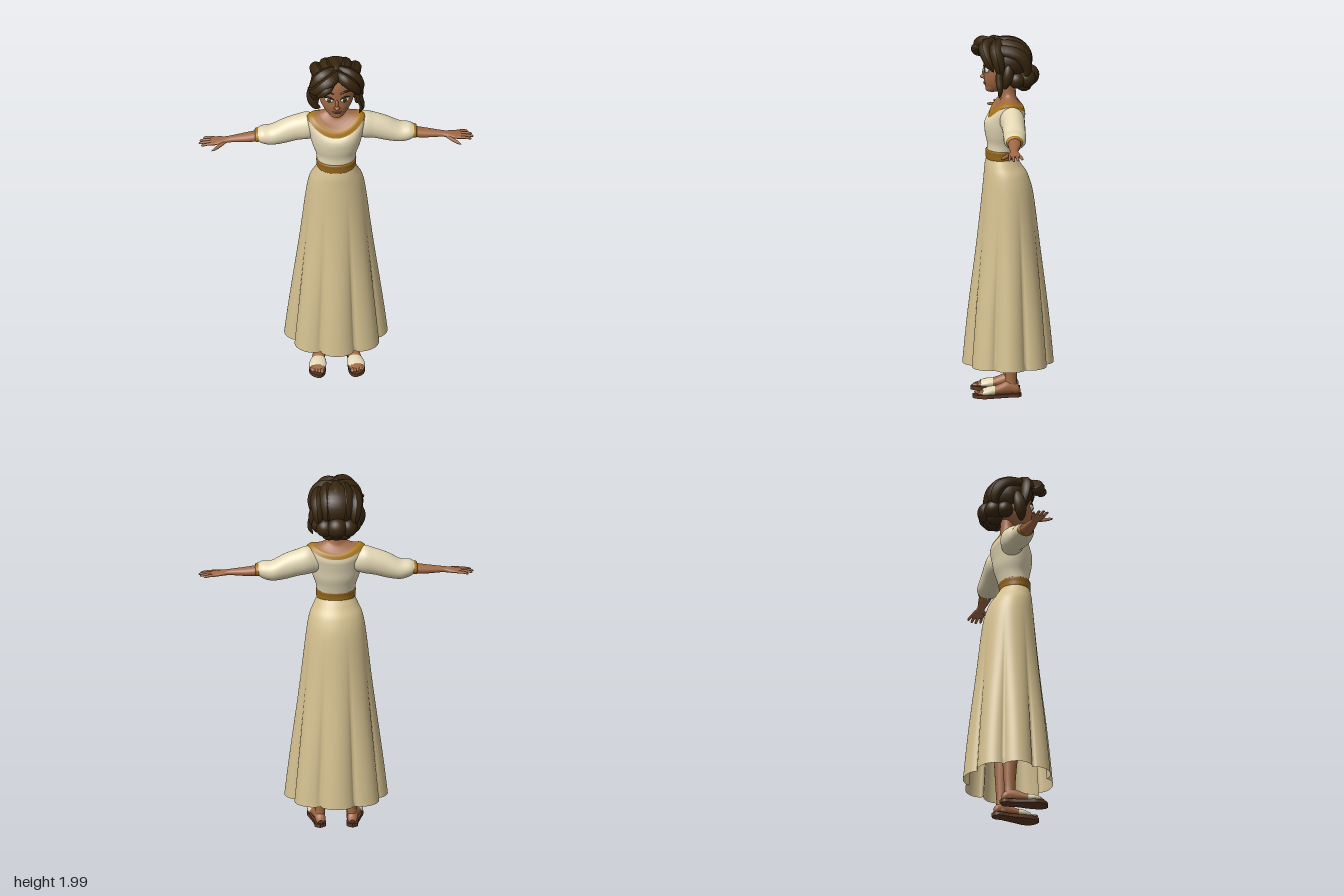
import * as THREE from 'three';

const V = (x, y, z) => new THREE.Vector3(x, y, z);
const mat = (name, color, double) => {
  const m = new THREE.MeshStandardMaterial({ color });
  m.name = name;
  if (double) m.side = THREE.DoubleSide;
  return m;
};

// Smooth loft: rows are [t, u, v, ru, rv, dip], t rising along the axis.
// dip lowers the front (and less the back) of a ring on a vertical loft.
function loft(axis, rows, { seg = 32, steps = 5, warp = () => 1 } = {}) {
  const mid = new THREE.CatmullRomCurve3(rows.map(r => V(r[0], r[1], r[2])), false, 'catmullrom');
  const rad = new THREE.CatmullRomCurve3(rows.map(r => V(r[3], r[4], r[5] || 0)), false, 'catmullrom');
  const n = (rows.length - 1) * steps, pos = [], idx = [];
  for (let i = 0; i <= n; i++) {
    const c = mid.getPoint(i / n), r = rad.getPoint(i / n);
    for (let j = 0; j < seg; j++) {
      const a = j / seg * Math.PI * 2, k = warp(a, c.x), cos = Math.cos(a);
      const u = c.y + Math.max(r.x, 0.0005) * k * Math.sin(a);
      const v = c.z + Math.max(r.y, 0.0005) * k * cos;
      const t = c.x - r.z * cos * cos * (cos > 0 ? 1 : 0.6);
      pos.push(...(axis === 'y' ? [u, t, v] : axis === 'x' ? [t, v, u] : [v, u, t]));
      if (i < n) {
        const p = i * seg + j, q = i * seg + (j + 1) % seg;
        idx.push(p, q, p + seg, q, q + seg, p + seg);
      }
    }
  }
  const g = new THREE.BufferGeometry();
  g.setAttribute('position', new THREE.Float32BufferAttribute(pos, 3));
  g.setIndex(idx);
  g.computeVertexNormals();
  return g;
}

// Mirror to the other side, keeping faces outward
function mirror(g) {
  const m = g.clone();
  if (!m.index) m.setIndex([...Array(m.attributes.position.count).keys()]);
  m.scale(-1, 1, 1);
  const a = m.index.array;
  for (let i = 0; i < a.length; i += 3) [a[i], a[i + 1]] = [a[i + 1], a[i]];
  return m;
}

// Tapered strand along a path
function strand(pts, r, flat = 1) {
  const curve = new THREE.CatmullRomCurve3(pts.map(p => V(...p)));
  const n = 20, sides = 10, g = new THREE.TubeGeometry(curve, n, 1, sides);
  const p = g.attributes.position, q = V();
  for (let i = 0; i <= n; i++) {
    const c = curve.getPointAt(i / n);
    const w = r * Math.pow(Math.max(Math.sin(Math.PI * (0.1 + 0.9 * i / n)), 0), 0.65);
    for (let j = 0; j <= sides; j++) {
      const k = i * (sides + 1) + j;
      q.fromBufferAttribute(p, k).sub(c).multiplyScalar(w);
      p.setXYZ(k, c.x + q.x, c.y + q.y * flat, c.z + q.z);
    }
  }
  g.computeVertexNormals();
  return g;
}

const ball = (x, y, z, rx, ry, rz, turn = 0) =>
  new THREE.SphereGeometry(1, 24, 16).scale(rx, ry, rz).rotateY(turn).translate(x, y, z);

export function createModel() {
  const root = new THREE.Group();
  const skin = mat('skin', 0xa16945), bodice = mat('bodice cream', 0xe2d6b4, true);
  const cloth = mat('skirt tan', 0xd4c090, true), gold = mat('gold trim', 0xa87618, true);
  const belt = mat('belt bronze', 0x94661a, true), hair = mat('dark brown hair', 0x38260f);
  const sole = mat('sandal brown', 0x5a3724), white = mat('eye white', 0xe8e2d8);
  const iris = mat('iris green', 0x4c5a26), lip = mat('lip', 0x8c4a3a);
  const add = (name, g, m) => {
    const o = new THREE.Mesh(g, m);
    o.name = name;
    root.add(o);
  };
  const pair = (name, g, m) => {
    add('left ' + name, g, m);
    add('right ' + name, mirror(g), m);
  };

  // Skirt with eight deepening folds
  const folds = (a, y) => {
    const k = THREE.MathUtils.smoothstep(1.25 - y, 0, 1);
    return 1 + 0.085 * k * (2 * Math.pow(Math.abs(Math.cos(4 * a)), 0.65) - 1);
  };
  add('skirt', loft('y', [
    [0.175, 0, 0, 0.26, 0.23], [0.5, 0, 0, 0.226, 0.202], [0.8, 0, 0, 0.195, 0.172],
    [1.1, 0, 0.002, 0.166, 0.142], [1.22, 0, 0.012, 0.147, 0.121],
    [1.28, 0, 0.028, 0.122, 0.1], [1.33, 0, 0.038, 0.1, 0.079],
  ], { seg: 128, steps: 7, warp: folds }), cloth);
  add('belt', loft('y', [
    [1.314, 0, 0.038, 0.098, 0.076], [1.32, 0, 0.038, 0.106, 0.083], [1.342, 0, 0.038, 0.107, 0.084],
    [1.364, 0, 0.037, 0.109, 0.086], [1.37, 0, 0.037, 0.1, 0.077],
  ], { seg: 48 }), belt);

  // Bodice, scooped collar, upper chest and neck share their edge rings
  const outer = [1.63, 0, 0.008, 0.157, 0.1, 0.085], inner = [1.645, 0, 0.005, 0.115, 0.077, 0.055];
  add('bodice', loft('y', [
    [1.34, 0, 0.038, 0.103, 0.08], [1.4, 0, 0.028, 0.11, 0.087], [1.45, 0, 0.025, 0.127, 0.1],
    [1.5, 0, 0.024, 0.14, 0.106, 0.005], [1.55, 0, 0.019, 0.15, 0.108, 0.03],
    [1.595, 0, 0.012, 0.158, 0.106, 0.06], outer,
  ], { seg: 64 }), bodice);
  add('collar', loft('y', [outer, [1.643, 0, 0.007, 0.137, 0.092, 0.072], inner], { seg: 64 }), gold);
  add('chest and neck', loft('y', [
    inner, [1.65, 0, 0, 0.085, 0.062, 0.042], [1.667, 0, -0.003, 0.052, 0.044, 0.028],
    [1.7, 0, -0.003, 0.044, 0.039], [1.77, 0, 0, 0.046, 0.042],
  ], { seg: 64 }), skin);

  // Sleeves, cuffs, arms
  pair('sleeve', loft('x', [
    [0.09, -0.01, 1.545, 0.05, 0.055], [0.15, -0.014, 1.553, 0.067, 0.078],
    [0.21, -0.018, 1.541, 0.064, 0.075], [0.28, -0.018, 1.519, 0.062, 0.071],
    [0.35, -0.018, 1.496, 0.062, 0.056], [0.4, -0.014, 1.5, 0.057, 0.047],
    [0.425, -0.012, 1.502, 0.045, 0.033],
  ]), bodice);
  pair('cuff', loft('x', [
    [0.415, -0.012, 1.502, 0.042, 0.032], [0.42, -0.012, 1.5, 0.046, 0.035],
    [0.437, -0.012, 1.498, 0.045, 0.034], [0.442, -0.012, 1.497, 0.034, 0.026],
  ]), gold);
  pair('arm and palm', loft('x', [
    [0.4, -0.012, 1.497, 0.036, 0.03], [0.48, -0.008, 1.488, 0.033, 0.025],
    [0.57, -0.002, 1.483, 0.022, 0.017], [0.6, 0, 1.48, 0.023, 0.015],
    [0.64, 0, 1.476, 0.034, 0.013], [0.675, -0.001, 1.473, 0.035, 0.01], [0.69, -0.001, 1.472, 0.02, 0.005],
  ]), skin);
  [[-0.029, -0.038, 0.722], [-0.01, -0.014, 0.743], [0.009, 0.01, 0.75], [0.028, 0.033, 0.738]]
    .forEach(([z0, z1, x1], i) => pair('finger ' + (i + 1), loft('x', [
      [0.66, z0, 1.474, 0.009, 0.008], [(0.66 + x1) / 2, (z0 + z1) / 2, 1.474, 0.008, 0.0075],
      [x1 - 0.008, z1, 1.469, 0.0065, 0.006], [x1, z1, 1.467, 0.001, 0.001],
    ], { seg: 10 }), skin));
  pair('thumb', loft('x', [
    [0.595, 0.008, 1.478, 0.01, 0.008], [0.63, 0.038, 1.471, 0.013, 0.01],
    [0.665, 0.064, 1.464, 0.01, 0.008], [0.682, 0.077, 1.461, 0.001, 0.001],
  ], { seg: 10 }), skin);

  // Legs, feet and sandals
  pair('leg', loft('y', [
    [0.03, 0.088, -0.012, 0.028, 0.034], [0.1, 0.086, -0.012, 0.027, 0.031],
    [0.2, 0.086, -0.012, 0.032, 0.037], [0.4, 0.085, -0.008, 0.045, 0.05],
    [0.9, 0.08, 0, 0.065, 0.07],
  ], { seg: 20 }), skin);
  pair('foot', loft('z', [
    [-0.062, 0.032, 0.086, 0.01, 0.012], [-0.045, 0.042, 0.087, 0.028, 0.027],
    [0, 0.052, 0.091, 0.038, 0.03], [0.06, 0.041, 0.098, 0.027, 0.035],
    [0.12, 0.03, 0.105, 0.016, 0.042], [0.16, 0.026, 0.109, 0.01, 0.037], [0.175, 0.024, 0.11, 0.003, 0.02],
  ], { seg: 20 }), skin);
  for (let i = 0; i < 5; i++)
    pair('toe ' + (i + 1), ball(0.083 + i * 0.0145, 0.028, 0.172 - i * i * 0.0018,
      i ? 0.008 : 0.011, 0.009, 0.018), skin);
  const print = new THREE.Shape();
  print.moveTo(0.088, -0.07);
  print.splineThru([[0.116, -0.05], [0.122, 0], [0.142, 0.08], [0.153, 0.13], [0.14, 0.175], [0.098, 0.2],
    [0.068, 0.17], [0.06, 0.11], [0.062, 0.03], [0.056, -0.04], [0.088, -0.07]]
    .map(p => new THREE.Vector2(...p)));
  const base = new THREE.ExtrudeGeometry(print, { depth: 0.02, bevelEnabled: false, curveSegments: 40 });
  pair('sandal sole', base.rotateX(Math.PI / 2).translate(0, 0.02, 0), sole);
  pair('sandal strap', loft('z', [
    [0.078, 0.037, 0.1, 0.027, 0.041], [0.11, 0.034, 0.104, 0.025, 0.047],
    [0.145, 0.03, 0.108, 0.018, 0.045],
  ], { seg: 24 }), bodice);

  // Head and face
  add('head', loft('y', [
    [1.685, 0, 0.085, 0.004, 0.008], [1.694, 0, 0.082, 0.034, 0.038], [1.72, 0, 0.056, 0.063, 0.069],
    [1.76, 0, 0.035, 0.088, 0.098], [1.8, 0, 0.025, 0.1, 0.107], [1.85, 0, 0.02, 0.102, 0.111],
    [1.9, 0, 0.015, 0.1, 0.11], [1.95, 0, 0.01, 0.08, 0.088], [1.98, 0, 0.01, 0.02, 0.02],
  ], { seg: 40 }), skin);
  add('nose tip', ball(0, 1.772, 0.136, 0.013, 0.011, 0.017), skin);
  add('nose bridge', ball(0, 1.795, 0.129, 0.009, 0.028, 0.012), skin);
  pair('nostril', ball(0.012, 1.768, 0.131, 0.008, 0.007, 0.009), skin);
  add('upper lip', ball(0, 1.74, 0.126, 0.027, 0.005, 0.007), lip);
  add('lower lip', ball(0, 1.732, 0.125, 0.02, 0.006, 0.008), lip);
  pair('ear', ball(0.103, 1.795, 0.012, 0.01, 0.03, 0.019, 0.3), skin);
  pair('eye', ball(0.043, 1.818, 0.119, 0.026, 0.017, 0.011, 0.32), white);
  pair('iris', ball(0.043, 1.818, 0.1265, 0.0135, 0.0145, 0.006, 0.3), iris);
  pair('pupil', ball(0.043, 1.818, 0.131, 0.007, 0.008, 0.003, 0.3), hair);
  pair('eyelash', strand([[0.017, 1.823, 0.13], [0.042, 1.837, 0.127], [0.064, 1.831, 0.113],
    [0.074, 1.826, 0.102]], 0.0045), hair);
  pair('eyebrow', strand([[0.018, 1.86, 0.131], [0.045, 1.869, 0.121], [0.078, 1.857, 0.095]], 0.006), hair);

  // Hair: cap, crown strands, swept fringe and side locks
  add('hair cap', ball(0, 1.868, -0.01, 0.135, 0.119, 0.124), hair);
  for (let i = -2; i <= 2; i++) {
    const x = i * 0.046, d = i * i * 0.008;
    add('crown strand', strand([[x * 0.6, 1.945 - d * 0.6, 0.105], [x, 1.962 - d, 0.03],
      [x * 1.15, 1.935 - d, -0.06], [x * 1.1, 1.86 - d, -0.1], [x, 1.77, -0.08]], 0.038), hair);
  }
  const locks = [
    [[[0.02, 1.968, 0.07], [-0.045, 1.95, 0.145], [-0.1, 1.905, 0.145], [-0.135, 1.875, 0.11],
      [-0.158, 1.885, 0.09]], 0.037],
    [[[0.02, 1.965, 0.03], [-0.08, 1.943, 0.08], [-0.118, 1.87, 0.075], [-0.118, 1.76, 0.05]], 0.038],
    [[[-0.115, 1.87, 0.02], [-0.128, 1.79, 0.035], [-0.115, 1.73, 0.045], [-0.085, 1.715, 0.05]], 0.034],
    [[[-0.02, 1.968, 0.07], [0.05, 1.95, 0.13], [0.1, 1.89, 0.118], [0.125, 1.82, 0.085]], 0.034],
    [[[-0.02, 1.965, 0.03], [0.08, 1.943, 0.07], [0.118, 1.88, 0.06], [0.115, 1.77, 0.04]], 0.038],
    [[[0.115, 1.87, 0.05], [0.126, 1.78, 0.055], [0.14, 1.72, 0.05], [0.125, 1.675, 0.055]], 0.02],
    [[[0.11, 1.87, 0], [0.122, 1.78, 0.01], [0.11, 1.72, 0.025]], 0.03],
    [[[-0.02, 1.94, 0.13], [-0.05, 1.925, 0.172], [-0.09, 1.89, 0.17], [-0.11, 1.862, 0.14]], 0.023],
  ];
  locks.forEach(([pts, r]) => add('hair lock', strand(pts, r), hair));

  // Low lobed bun
  add('bun centre', ball(0, 1.778, -0.115, 0.058, 0.058, 0.056), hair);
  add('bun underside', ball(0, 1.735, -0.085, 0.05, 0.04, 0.045), hair);
  pair('bun lobe', ball(0.062, 1.772, -0.095, 0.052, 0.052, 0.052), hair);
  pair('bun side', ball(0.093, 1.768, -0.042, 0.042, 0.045, 0.045), hair);
  pair('bun low lobe', ball(0.042, 1.733, -0.085, 0.04, 0.036, 0.042), hair);
  return root;
}
